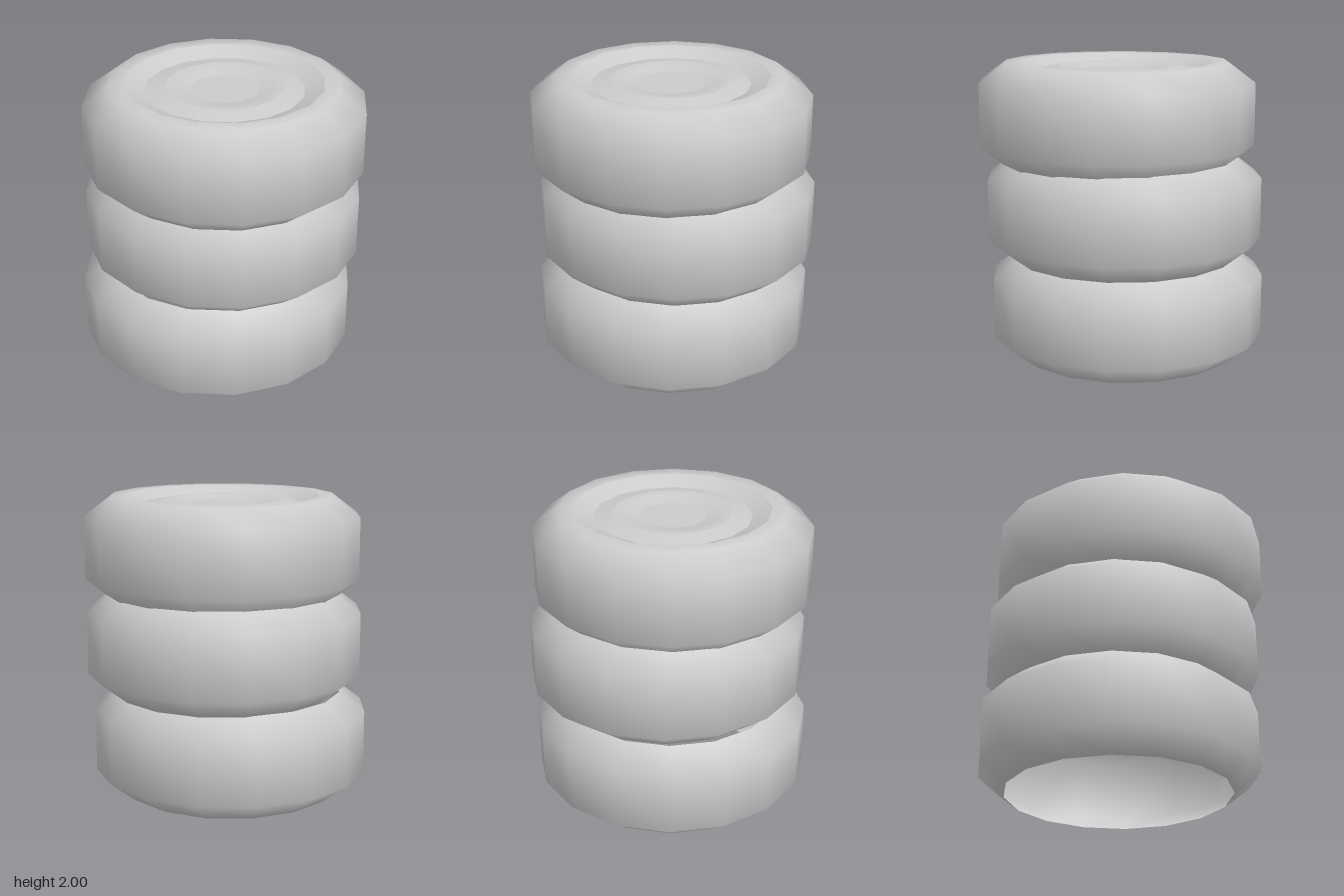
import * as THREE from 'three';

const SIDES = 16;
const material = new THREE.MeshStandardMaterial({ color: 0xcccccc, side: THREE.DoubleSide });

// Revolve a [radius, height] profile into a named mesh
function lathe(name, profile) {
  const points = profile.map(([r, y]) => new THREE.Vector2(r, y));
  const mesh = new THREE.Mesh(new THREE.LatheGeometry(points, SIDES), material);
  mesh.name = name;
  return mesh;
}

// Open outer shell of a tyre: bevel, tread, bevel
const tread = [[0.755, 0], [0.93, 0.138], [0.93, 0.555], [0.755, 0.686]];

function makeTyre(name, x, y, z, capped) {
  const tyre = new THREE.Group();
  tyre.name = name;
  tyre.position.set(x, y, z);
  // The uppermost tyre also has a flat sidewall, a sloping lip and a hub
  tyre.add(lathe('tread', capped ? [...tread, [0.655, 0.686]] : tread));
  if (capped) {
    tyre.add(lathe('innerLip', [[0.655, 0.686], [0.525, 0.632]]));
    tyre.add(lathe('hubRing', [[0.525, 0.632], [0.39, 0.658]]));
    tyre.add(lathe('hubRidge', [[0.39, 0.658], [0.34, 0.654]]));
    tyre.add(lathe('hubDish', [[0.34, 0.654], [0.225, 0.632]]));
    tyre.add(lathe('hubCentre', [[0.225, 0.632], [0, 0.632]]));
  }
  return tyre;
}

export function createModel() {
  const stack = new THREE.Group();
  stack.name = 'tyreStack';
  // Loosely piled, each slightly off centre
  stack.add(makeTyre('bottomTyre', -0.023, 0, -0.03, false));
  stack.add(makeTyre('middleTyre', 0.02, 0.68, -0.03, false));
  stack.add(makeTyre('topTyre', 0.02, 1.314, 0.028, true));
  return stack;
}
